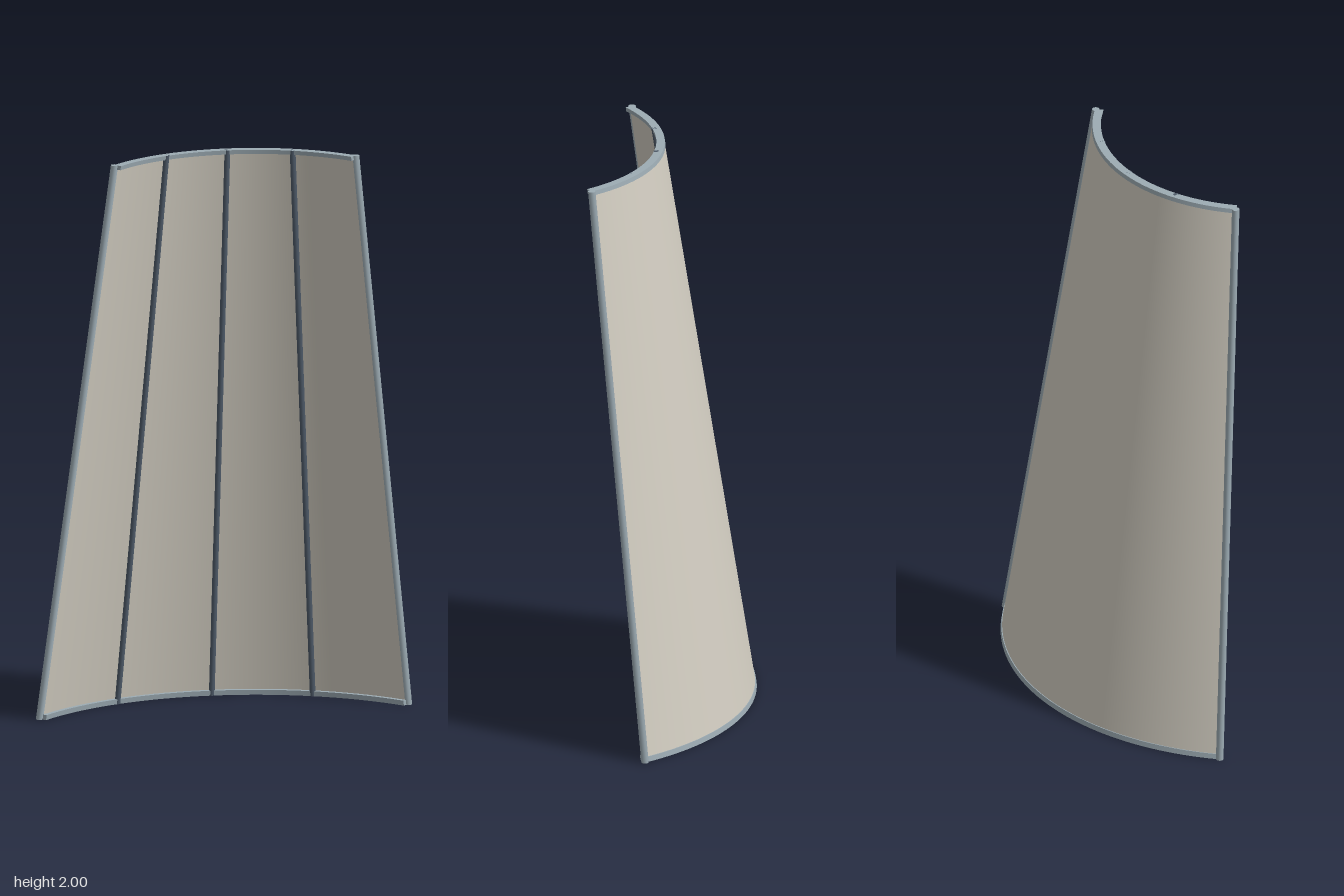
import * as THREE from 'three';

const AXIS_Z = 0.655;           // z of the cone's axis
const HALF = Math.PI / 4;       // half of the panel's sweep
const HEIGHT = 2;
const R_BOTTOM = 0.909, R_TOP = 0.594;

const radiusAt = (y) => R_BOTTOM + (R_TOP - R_BOTTOM) * y / HEIGHT;

// Point on the cone at an angle from the back centre, offset outward
const conePoint = (angle, y, offset = 0) => {
  const r = radiusAt(y) + offset;
  return new THREE.Vector3(r * Math.sin(angle), y, AXIS_Z - r * Math.cos(angle));
};

// Box bent around the cone, between two heights and two radial offsets
function bentSlab(y0, y1, inner, outer) {
  const geo = new THREE.BoxGeometry(1, 1, 1, 64, 1, 1);
  const pos = geo.attributes.position;
  for (let i = 0; i < pos.count; i++) {
    const angle = pos.getX(i) * 2 * HALF;
    const y = pos.getY(i) < 0 ? y0 : y1;
    const p = conePoint(angle, y, pos.getZ(i) > 0 ? inner : outer);
    pos.setXYZ(i, p.x, p.y, p.z);
  }
  geo.computeVertexNormals();
  return geo;
}

// Round bar running up the cone, with ends cut level
function bar(angle, offset, radius) {
  const geo = new THREE.CylinderGeometry(radius, radius, 1, 12);
  const a = conePoint(angle, 0, offset), b = conePoint(angle, HEIGHT, offset);
  const pos = geo.attributes.position;
  for (let i = 0; i < pos.count; i++) {
    const c = pos.getY(i) < 0 ? a : b;
    pos.setXYZ(i, c.x + pos.getX(i), c.y, c.z + pos.getZ(i));
  }
  return geo;
}

export function createModel() {
  const model = new THREE.Group();
  model.name = 'curvedPanel';

  const panelMat = new THREE.MeshStandardMaterial({ name: 'warmGrey', color: 0xd2cdc1 });
  const frameMat = new THREE.MeshStandardMaterial({ name: 'paleSteel', color: 0x9dacb4 });
  const ribMat = new THREE.MeshStandardMaterial({ name: 'darkSlate', color: 0x4c5866 });

  const add = (name, geo, mat) => {
    const mesh = new THREE.Mesh(geo, mat);
    mesh.name = name;
    model.add(mesh);
  };

  // Tapered shell, open towards the front
  add('shell', bentSlab(0.005, HEIGHT - 0.005, -0.012, 0), panelMat);

  // Rims along the lower and upper curves
  add('bottomRim', bentSlab(0, 0.018, -0.027, 0.003), frameMat);
  add('topRim', bentSlab(HEIGHT - 0.015, HEIGHT, -0.027, 0.002), frameMat);

  // Bars along both straight edges
  add('leftEdge', bar(HALF, 0, 0.013), frameMat);
  add('rightEdge', bar(-HALF, 0, 0.013), frameMat);

  // Three ribs on the inner face
  ['rightRib', 'middleRib', 'leftRib'].forEach((name, i) => {
    add(name, bar((i - 1) * HALF / 2, -0.02, 0.01), ribMat);
  });

  return model;
}
